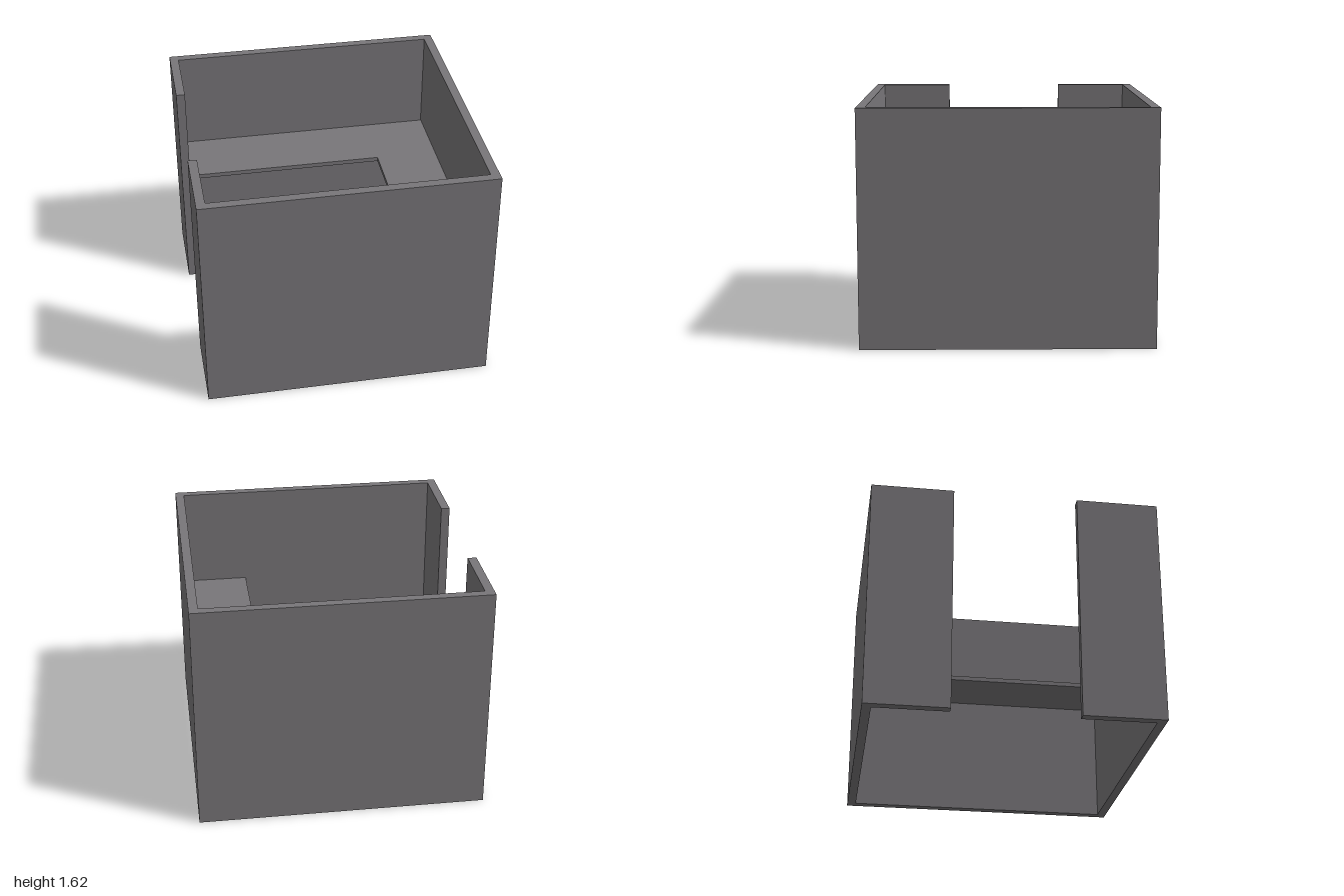
import * as THREE from 'three';

const HEIGHT = 1.625;
const INNER = 0.938; // inner face of the walls
const DOOR = 0.43; // half width of the doorway

// Extrudes a floor-plan outline of [x, z] points upward from y = base.
function extrudePlan(name, points, base, height, material) {
  const shape = new THREE.Shape(points.map(([x, z]) => new THREE.Vector2(x, -z)));
  const geometry = new THREE.ExtrudeGeometry(shape, { depth: height, bevelEnabled: false });
  geometry.rotateX(-Math.PI / 2);
  geometry.translate(0, base, 0);
  const mesh = new THREE.Mesh(geometry, material);
  mesh.name = name;
  return mesh;
}

export function createModel() {
  const group = new THREE.Group();
  group.name = 'room';
  const grey = new THREE.MeshStandardMaterial({ color: 0x787679 });
  grey.name = 'warm grey';

  // Four walls in one piece, open at the doorway on the -x side
  group.add(extrudePlan('walls', [
    [-1, DOOR], [-1, 1], [1, 1], [1, -1], [-1, -1], [-1, -DOOR],
    [-INNER, -DOOR], [-INNER, -INNER], [INNER, -INNER],
    [INNER, INNER], [-INNER, INNER], [-INNER, DOOR],
  ], 0, HEIGHT, grey));

  // L-shaped counter along the back and +x walls, with a slim gap at the back
  group.add(extrudePlan('counter', [
    [-INNER, -0.46], [0.49, -0.46], [0.49, INNER],
    [INNER, INNER], [INNER, -0.93], [-INNER, -0.93],
  ], 0.875, 0.032, grey));

  return group;
}
